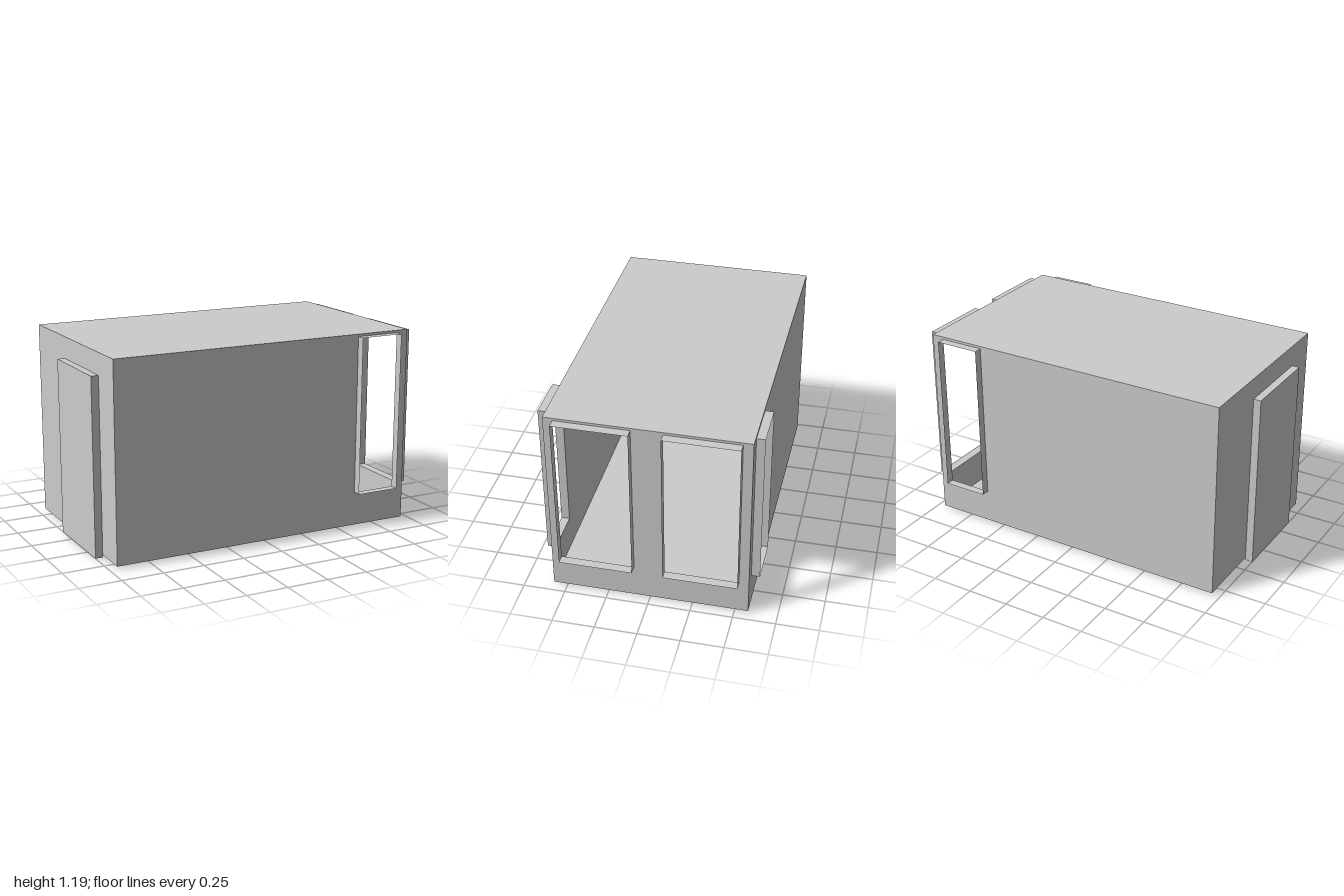
import * as THREE from 'three';

const material = new THREE.MeshStandardMaterial({ color: 0xcccccc, side: THREE.DoubleSide });

// Shell extents
const X0 = -0.955, X1 = 0.945, Y0 = 0.015, Y1 = 1.19, Z = 0.58, DEPTH = 0.05;
// Window sill and head heights
const SILL = 0.22, HEAD = 1.175;

function add(parent, name, geometry) {
  const mesh = new THREE.Mesh(geometry, material);
  mesh.name = name;
  parent.add(mesh);
  return mesh;
}

function rectangle(target, a, b, c, d) {
  target.moveTo(a, c);
  target.lineTo(b, c);
  target.lineTo(b, d);
  target.lineTo(a, d);
  target.closePath();
  return target;
}

// Thin upright wall facing local +z, with window openings given as [from, to]
function wall(a, b, openings = []) {
  const shape = rectangle(new THREE.Shape(), a, b, Y0, Y1);
  for (const [p, q] of openings) {
    shape.holes.push(rectangle(new THREE.Path(), p, q, SILL, HEAD));
  }
  return new THREE.ShapeGeometry(shape);
}

// Four thin boards standing out around an opening, towards local +z
function windowFrame(a, b, depth) {
  const frame = new THREE.Group();
  frame.name = 'windowFrame';
  const cx = (a + b) / 2, cy = (SILL + HEAD) / 2;
  for (const s of [-1, 1]) {
    const jamb = add(frame, s < 0 ? 'jambA' : 'jambB', new THREE.PlaneGeometry(depth, HEAD - SILL));
    jamb.rotation.y = s * Math.PI / 2;
    jamb.position.set(s < 0 ? a : b, cy, depth / 2);
    const rail = add(frame, s < 0 ? 'sill' : 'head', new THREE.PlaneGeometry(b - a, depth));
    rail.rotation.x = -s * Math.PI / 2;
    rail.position.set(cx, s < 0 ? SILL : HEAD, depth / 2);
  }
  return frame;
}

export function createModel() {
  const model = new THREE.Group();
  model.name = 'cabin';

  // Walls, each turned outwards together with its window frames
  const sides = [
    { name: 'frontWall', a: X0, b: X1, turn: 0, at: [0, 0, Z], windows: [[0.6, 0.87]] },
    { name: 'backWall', a: -X1, b: -X0, turn: Math.PI, at: [0, 0, -Z], windows: [[-0.87, -0.6]] },
    { name: 'leftWall', a: -Z, b: Z, turn: Math.PI / 2, at: [X1, 0, 0], depth: 0.055,
      windows: [[-0.523, -0.09], [0.09, 0.523]] },
    { name: 'rightWall', a: -Z, b: Z, turn: -Math.PI / 2, at: [X0, 0, 0], windows: [] },
  ];
  for (const { name, a, b, turn, at, windows, depth = DEPTH } of sides) {
    const side = new THREE.Group();
    side.name = name;
    side.rotation.y = turn;
    side.position.set(...at);
    add(side, name + 'Panel', wall(a, b, windows));
    for (const [p, q] of windows) side.add(windowFrame(p, q, depth));
    model.add(side);
  }

  // Roof and floor
  for (const [name, y, s] of [['roof', Y1, -1], ['floor', Y0, 1]]) {
    const slab = add(model, name, new THREE.PlaneGeometry(X1 - X0, 2 * Z));
    slab.rotation.x = s * Math.PI / 2;
    slab.position.set((X0 + X1) / 2, y, 0);
  }

  // Door slab on the end wall, reaching the ground
  const door = add(model, 'door', new THREE.BoxGeometry(0.045, 1.06, 0.52));
  door.position.set(-0.9775, 0.53, 0.11);

  return model;
}
